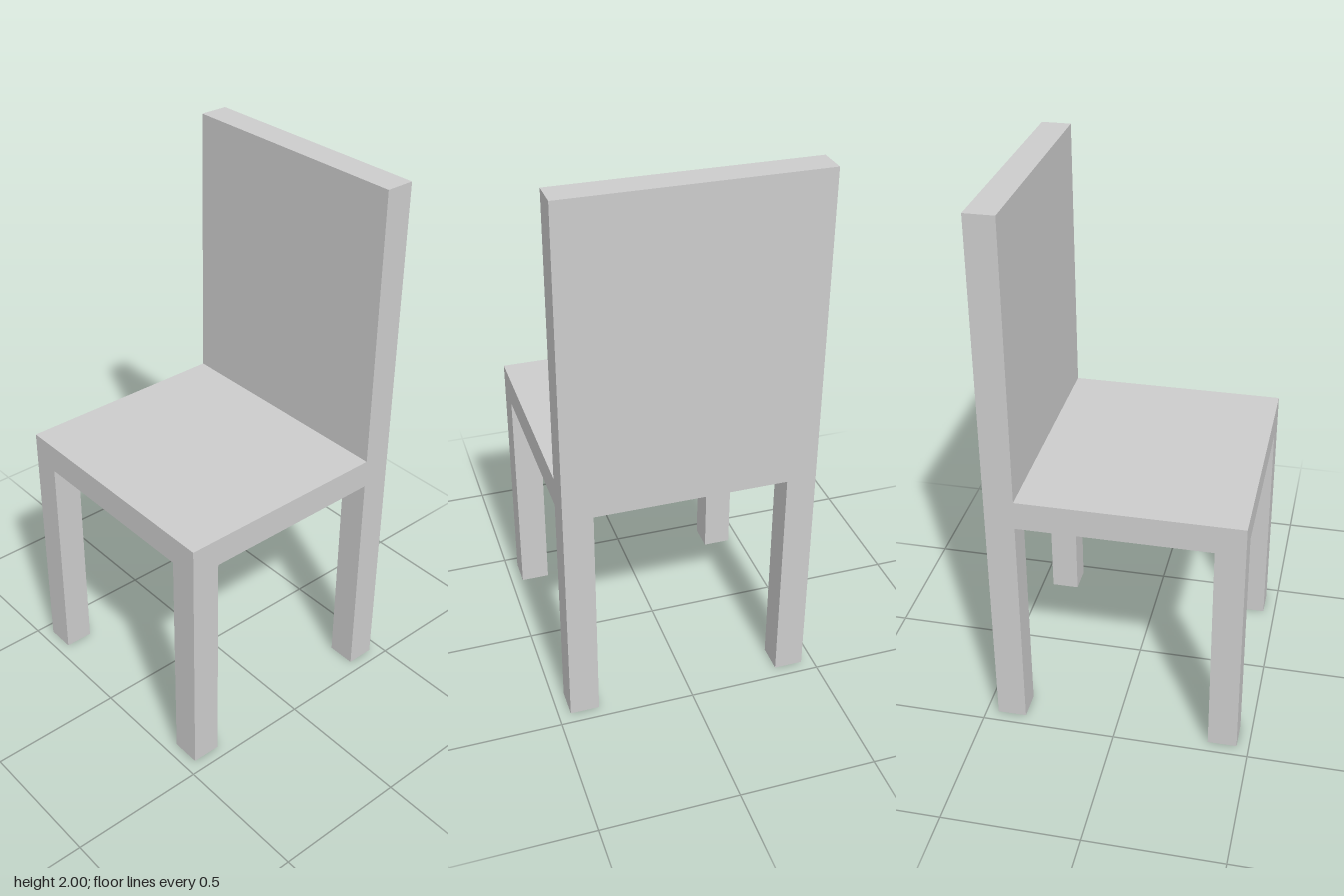
import * as THREE from 'three';

const HALF = 0.455;       // half the seat width and depth
const T = 0.107;          // thickness of legs, seat and backrest
const SEAT_BOTTOM = 0.86;
const SEAT_TOP = 0.967;
const HEIGHT = 2;

export function createModel() {
  const chair = new THREE.Group();
  chair.name = 'chair';
  const material = new THREE.MeshStandardMaterial({ color: 0xcccccc, flatShading: true });

  // Box standing on height y0 and reaching y1
  function addBox(name, width, depth, y0, y1, x, z) {
    const mesh = new THREE.Mesh(new THREE.BoxGeometry(width, y1 - y0, depth), material);
    mesh.name = name;
    mesh.position.set(x, (y0 + y1) / 2, z);
    chair.add(mesh);
  }

  // Square seat slab
  addBox('seat', 2 * HALF, 2 * HALF, SEAT_BOTTOM, SEAT_TOP, 0, 0);

  // Solid backrest along the +x edge
  const edge = HALF - T / 2;
  addBox('backrest', T, 2 * HALF, SEAT_TOP, HEIGHT, edge, 0);

  // Four square legs, flush with the seat corners
  for (const sx of [-1, 1]) {
    for (const sz of [-1, 1]) {
      const name = (sx > 0 ? 'backrestSide' : 'openSide') + (sz > 0 ? 'FrontLeg' : 'RearLeg');
      addBox(name, T, T, 0, SEAT_BOTTOM, sx * edge, sz * edge);
    }
  }

  return chair;
}
